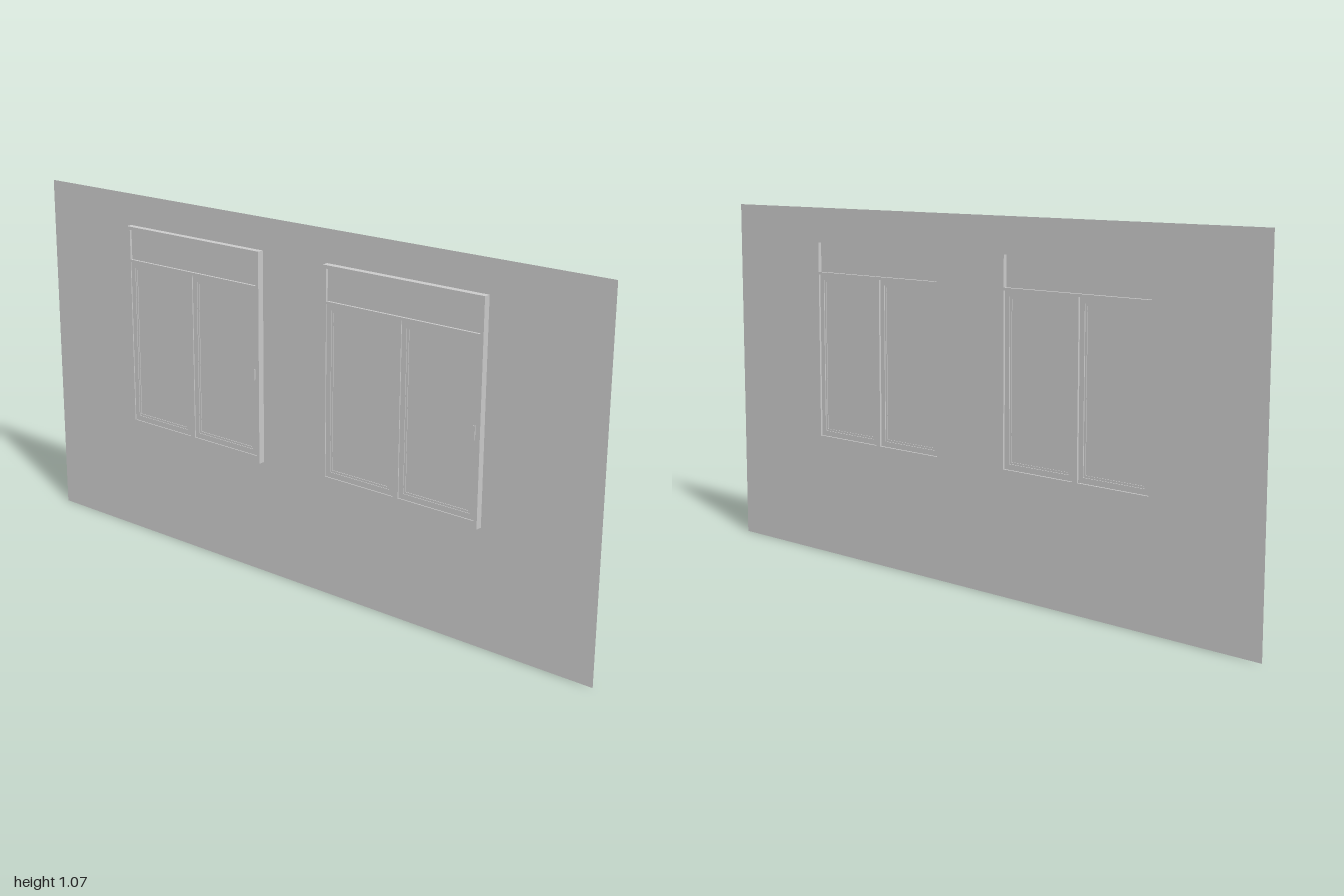
import * as THREE from 'three';

const grey = new THREE.MeshStandardMaterial({ color: 0xcccccc, side: THREE.DoubleSide });

// Rectangles are [z0, z1, y0, y1]; shapes are drawn with u = -z, then turned into the wall plane.
function trace(path, [z0, z1, y0, y1]) {
  path.moveTo(-z1, y0);
  path.lineTo(-z0, y0);
  path.lineTo(-z0, y1);
  path.lineTo(-z1, y1);
  path.closePath();
  return path;
}

function rectShape(outer, holes) {
  const shape = trace(new THREE.Shape(), outer);
  holes.forEach(h => shape.holes.push(trace(new THREE.Path(), h)));
  return shape;
}

// Slab between x0 and x1, with rectangular openings
function panel(name, outer, holes, x0, x1) {
  const geo = new THREE.ExtrudeGeometry(rectShape(outer, holes), { depth: x1 - x0, bevelEnabled: false });
  geo.rotateY(Math.PI / 2).translate(x0, 0, 0);
  const mesh = new THREE.Mesh(geo, grey);
  mesh.name = name;
  return mesh;
}

function box(name, sx, sy, sz, x, y, z) {
  const mesh = new THREE.Mesh(new THREE.BoxGeometry(sx, sy, sz), grey);
  mesh.name = name;
  mesh.position.set(x, y, z);
  return mesh;
}

const inset = ([z0, z1, y0, y1], d) => [z0 + d, z1 - d, y0 + d, y1 - d];

const FRAME = [-0.265, 0.265, 0.343, 0.97];
const TRANSOM = [-0.252, 0.255, 0.87, 0.96];
const SASH = [0.005, 0.255, 0.365, 0.862];
const FIXED = [-0.252, -0.012, 0.365, 0.862];

function makeWindow() {
  const g = new THREE.Group();
  g.name = 'window';
  // Outer frame with mullion and transom rail
  g.add(panel('frame', FRAME, [TRANSOM, SASH, FIXED], -0.01, 0.01));

  // Opening sash and fixed light: a stepped border around recessed glass
  for (const [name, rect] of [['sash', SASH], ['fixedLight', FIXED]]) {
    g.add(panel(name + 'Border', rect, [inset(rect, 0.016)], -0.007, 0.004));
    g.add(panel(name + 'Bead', inset(rect, 0.016), [inset(rect, 0.022)], -0.005, 0.001));
    g.add(panel(name + 'Glass', inset(rect, 0.02), [], -0.003, -0.001));
  }
  g.add(panel('transomGlass', TRANSOM, [], -0.003, -0.001));

  // Handle on the inner side of the sash
  g.add(box('handlePlate', 0.002, 0.03, 0.007, -0.0075, 0.61, 0.245));
  g.add(box('handleLever', 0.0015, 0.042, 0.004, -0.0092, 0.605, 0.245));
  return g;
}

export function createModel() {
  const model = new THREE.Group();
  model.name = 'wallWithWindows';
  const centres = [-0.39, 0.375];

  // Thin wall, flush with the outer face of the frames
  const openings = centres.map(c => [FRAME[0] + c, FRAME[1] + c, FRAME[2], FRAME[3]]);
  const wallGeo = new THREE.ShapeGeometry(rectShape([-1, 1, 0, 1.065], openings));
  wallGeo.rotateY(Math.PI / 2).translate(0.01, 0, 0);
  const wall = new THREE.Mesh(wallGeo, grey);
  wall.name = 'wall';
  model.add(wall);

  for (const c of centres) {
    const w = makeWindow();
    w.position.z = c;
    model.add(w);
  }
  return model;
}
